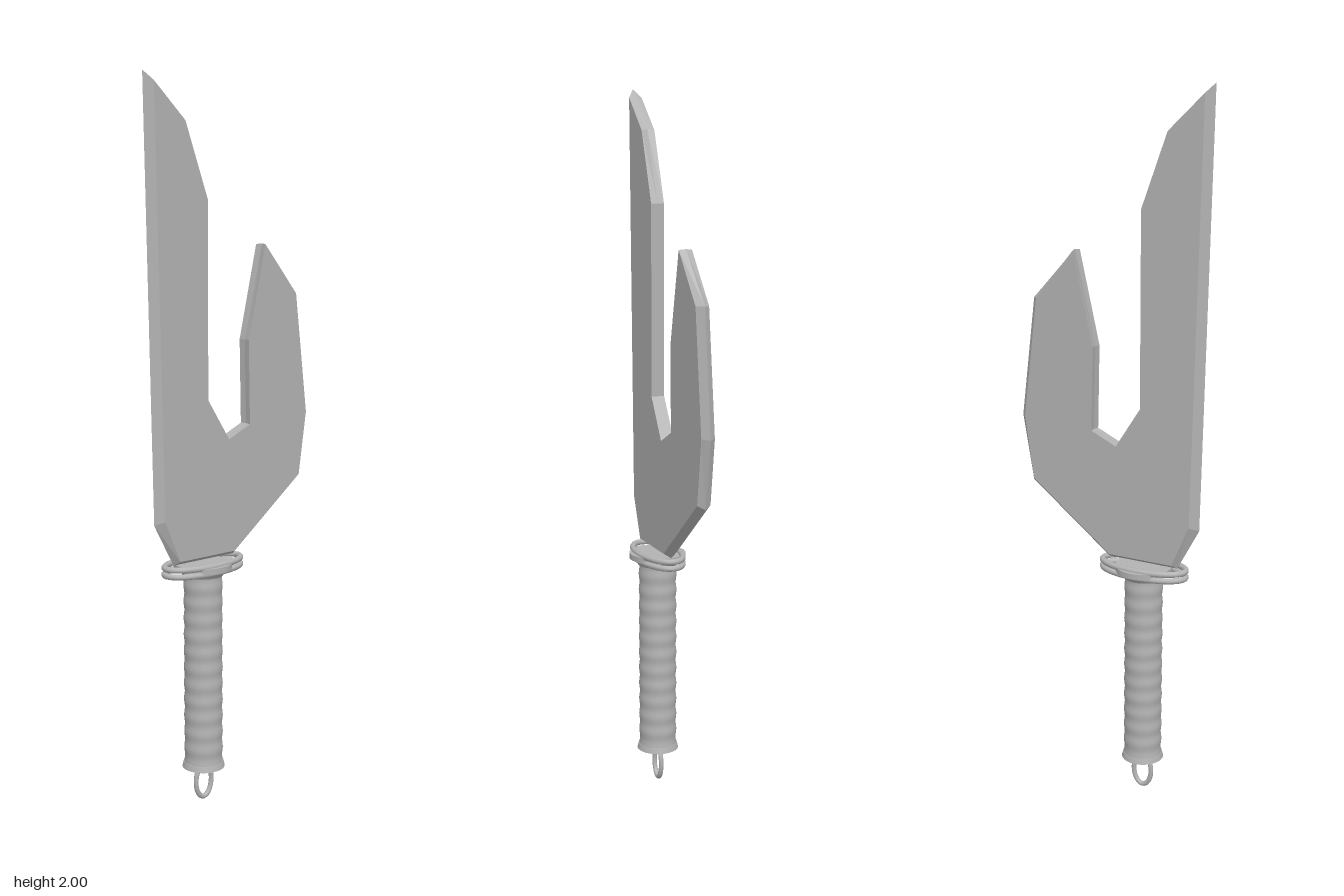
import * as THREE from 'three';

const steel = new THREE.MeshStandardMaterial({ color: 0xb2b2b2 });
steel.name = 'grey steel';
const GRIP_X = -0.1;

// Outline of the blade on its middle plane (sharp edge), clockwise from the tip
const EDGE = [
  [-0.295, 2.0], [-0.175, 1.885], [-0.095, 1.68], [-0.095, 1.145], [-0.02, 1.03],
  [0.06, 1.065], [0.054, 1.3], [0.117, 1.562], [0.25, 1.42], [0.293, 1.08],
  [0.26, 0.89], [0.01, 0.7], [-0.205, 0.7], [-0.27, 0.82],
];
// Matching outline of the flat sides, inset where the outer edge is ground
const FLAT = [
  [-0.273, 1.975], [-0.17, 1.88], [-0.095, 1.68], [-0.095, 1.145], [-0.02, 1.03],
  [0.057, 1.065], [0.052, 1.3], [0.113, 1.56], [0.232, 1.42], [0.275, 1.08],
  [0.248, 0.9], [0, 0.712], [-0.195, 0.712], [-0.247, 0.83],
];

function bladeGeometry(halfThickness) {
  const pos = [];
  const tri = (a, b, c) => pos.push(...a, ...b, ...c);
  const at = (p, z) => [p[0], p[1], z];
  const n = EDGE.length;
  // flat sides
  const faces = THREE.ShapeUtils.triangulateShape(FLAT.map((p) => new THREE.Vector2(...p)), []);
  for (const f of faces) {
    let [a, b, c] = f.map((i) => FLAT[i]);
    const area = (b[0] - a[0]) * (c[1] - a[1]) - (b[1] - a[1]) * (c[0] - a[0]);
    if (area < 0) [b, c] = [c, b];
    tri(at(a, halfThickness), at(b, halfThickness), at(c, halfThickness));
    tri(at(a, -halfThickness), at(c, -halfThickness), at(b, -halfThickness));
  }
  // bevels from each flat side to the middle edge
  for (let i = 0; i < n; i++) {
    const j = (i + 1) % n;
    const e0 = at(EDGE[i], 0), e1 = at(EDGE[j], 0);
    const f0 = at(FLAT[i], halfThickness), f1 = at(FLAT[j], halfThickness);
    const b0 = at(FLAT[i], -halfThickness), b1 = at(FLAT[j], -halfThickness);
    tri(f0, f1, e1); tri(f0, e1, e0);
    tri(e0, e1, b1); tri(e0, b1, b0);
  }
  const g = new THREE.BufferGeometry();
  g.setAttribute('position', new THREE.Float32BufferAttribute(pos, 3));
  g.computeVertexNormals();
  return g;
}

// Closed elliptical ring lying in the xz or xy plane
class Ellipse extends THREE.Curve {
  constructor(rx, ry, flat) {
    super();
    Object.assign(this, { rx, ry, flat });
  }
  getPoint(t, target = new THREE.Vector3()) {
    const a = t * Math.PI * 2, u = this.rx * Math.cos(a), v = this.ry * Math.sin(a);
    return this.flat ? target.set(u, 0, v) : target.set(u, v, 0);
  }
}

export function createModel() {
  const group = new THREE.Group();
  const add = (name, geometry, x, y) => {
    const mesh = new THREE.Mesh(geometry, steel);
    mesh.name = name;
    mesh.position.set(x, y, 0);
    group.add(mesh);
  };

  add('blade', bladeGeometry(0.019), 0, 0);

  // Grip with shallow ripples
  const profile = [];
  for (let i = 0; i <= 72; i++) {
    const t = i / 72;
    profile.push(new THREE.Vector2(0.0535 + 0.0012 * Math.cos(t * Math.PI * 24), 0.11 + t * 0.565));
  }
  add('grip', new THREE.LatheGeometry(profile, 32), GRIP_X, 0);

  // Collars at both ends of the grip
  add('pommelCap', new THREE.CylinderGeometry(0.056, 0.06, 0.016, 32), GRIP_X, 0.108);
  add('upperCollar', new THREE.CylinderGeometry(0.066, 0.056, 0.014, 32), GRIP_X, 0.664);
  add('guardDisc', new THREE.CylinderGeometry(0.081, 0.081, 0.016, 40), GRIP_X, 0.684);

  // Pair of oval guard rings
  for (const y of [0.674, 0.693]) {
    add('guardRing', new THREE.TubeGeometry(new Ellipse(0.128, 0.06, true), 64, 0.0085, 10, true), GRIP_X, y);
  }

  // Lanyard loop under the pommel
  add('lanyardLoop', new THREE.TubeGeometry(new Ellipse(0.028, 0.048, false), 40, 0.007, 10, true), GRIP_X, 0.055);

  return group;
}
